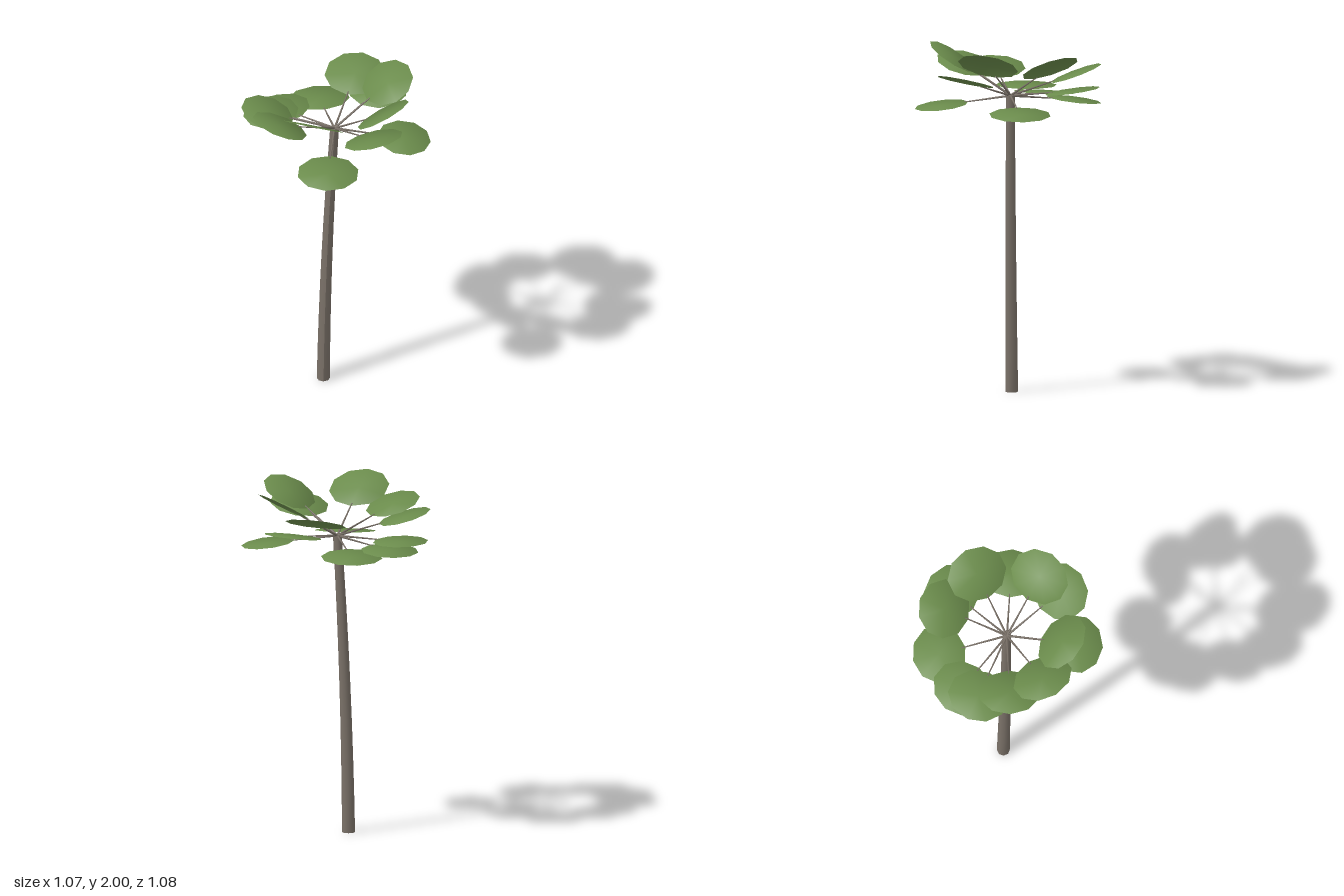
import * as THREE from 'three';

const HUB = new THREE.Vector3(-0.01, 1.705, 0);
const LEAF_DISTANCE = 0.396;

// Leaf centres as [x, z, elevation in degrees]
const LEAVES = [
  [-0.09, -0.40, -7], [0.12, -0.36, 20], [0.26, -0.32, 8], [0.31, -0.165, 30],
  [0.39, 0.04, -7], [0.265, 0.20, 33], [0.20, 0.31, 18], [-0.06, 0.40, -7],
  [-0.14, 0.315, 33], [-0.335, 0.195, 21.5], [-0.40, 0, 16], [-0.375, -0.18, 0],
  [-0.30, -0.26, -5],
];

// Tapered trunk, bent by shifting each ring sideways
function trunkGeometry() {
  const g = new THREE.CylinderGeometry(0.025, 0.037, 1.71, 8, 8);
  g.translate(0, 0.855, 0);
  const p = g.attributes.position;
  for (let i = 0; i < p.count; i++) {
    const t = p.getY(i) / 1.71;
    p.setX(i, p.getX(i) - 0.073 + 0.02 * t + 0.043 * t * t);
    p.setZ(i, p.getZ(i) - 0.022 * (1 - t));
  }
  g.computeVertexNormals();
  return g;
}

// Flat ten-sided oval blade with softly rounded shading
function bladeGeometry() {
  const g = new THREE.CircleGeometry(1, 10);
  g.rotateX(-Math.PI / 2);
  const p = g.attributes.position;
  const n = new THREE.Vector3();
  for (let i = 0; i < p.count; i++) {
    n.set(p.getX(i) * 0.5, 1, p.getZ(i) * 0.5).normalize();
    g.attributes.normal.setXYZ(i, n.x, n.y, n.z);
    p.setXYZ(i, p.getX(i) * 0.153, 0, p.getZ(i) * 0.176);
  }
  return g;
}

export function createModel() {
  const tree = new THREE.Group();
  tree.name = 'fanPalm';
  const bark = new THREE.MeshStandardMaterial({ color: 0x7a7168 });
  const green = new THREE.MeshStandardMaterial({ color: 0x6b8c4c, side: THREE.DoubleSide });

  const trunk = new THREE.Mesh(trunkGeometry(), bark);
  trunk.name = 'trunk';
  tree.add(trunk);

  // Stem runs along +x from the hub to the blade
  const stemGeometry = new THREE.CylinderGeometry(0.0035, 0.007, 0.265, 5);
  stemGeometry.rotateZ(-Math.PI / 2).translate(0.1325, 0, 0);
  const blade = bladeGeometry();

  LEAVES.forEach(([x, z, elevation], i) => {
    const leaf = new THREE.Group();
    leaf.name = `leaf${i + 1}`;
    const stem = new THREE.Mesh(stemGeometry, bark);
    stem.name = 'leafStem';
    const fan = new THREE.Mesh(blade, green);
    fan.name = 'leafBlade';
    fan.position.x = LEAF_DISTANCE;
    leaf.add(stem, fan);
    leaf.position.copy(HUB);
    leaf.rotation.order = 'YZX';
    leaf.rotation.y = Math.atan2(-(z - HUB.z), x - HUB.x);
    leaf.rotation.z = THREE.MathUtils.degToRad(elevation);
    tree.add(leaf);
  });

  return tree;
}
